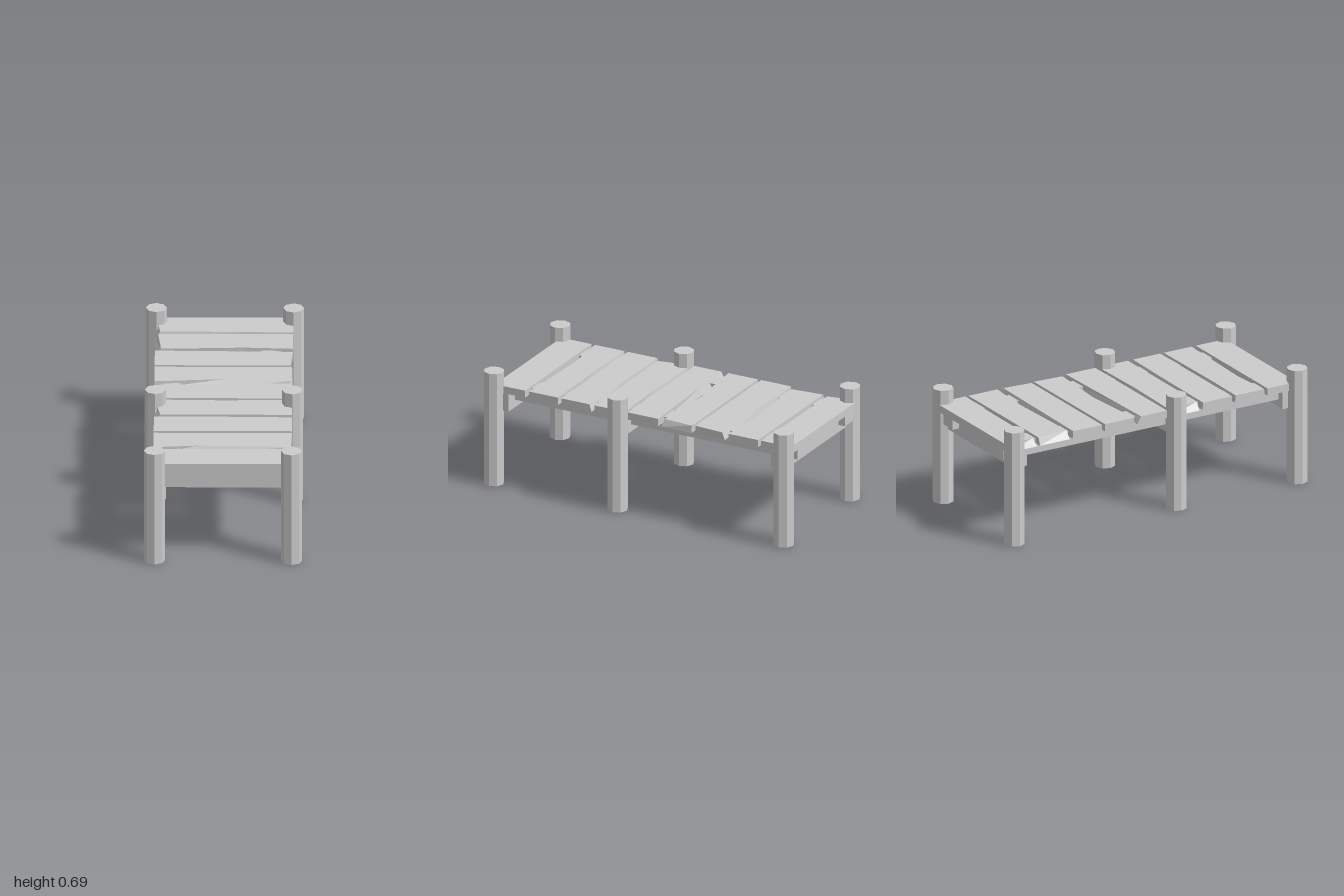
import * as THREE from 'three';

const material = new THREE.MeshStandardMaterial({ color: 0xcccccc, flatShading: true });

function add(parent, name, geometry, x, y, z) {
  const mesh = new THREE.Mesh(geometry, material);
  mesh.name = name;
  mesh.position.set(x, y, z);
  parent.add(mesh);
}

// Box given by its limits on each axis
function beam(parent, name, [x0, x1], [y0, y1], [z0, z1]) {
  add(parent, name, new THREE.BoxGeometry(x1 - x0, y1 - y0, z1 - z0),
    (x0 + x1) / 2, (y0 + y1) / 2, (z0 + z1) / 2);
}

// Board with hewn edges: the top ring is pulled in by the wear amounts,
// back/front are [left, middle, right], left/right are [back, front].
// "through" wear is cut straight down, so it pulls in the bottom ring too.
function plankGeometry(width, depth, height, wear) {
  const none = { back: [0, 0, 0], front: [0, 0, 0], left: [0, 0], right: [0, 0], mid: 0, through: '' };
  const w = { ...none, ...wear };
  const ring = (y, amount) => {
    const [b, f, l, r] = ['back', 'front', 'left', 'right'].map((k) => w[k].map((v) => v * amount(k)));
    const hx = width / 2, hz = depth / 2;
    return [
      [-hx + l[0], y, -hz + b[0]], [w.mid, y, -hz + b[1]], [hx - r[0], y, -hz + b[2]],
      [hx - r[1], y, hz - f[2]], [w.mid, y, hz - f[1]], [-hx + l[1], y, hz - f[0]],
    ];
  };
  const top = ring(height / 2, () => 1);
  const bottom = ring(-height / 2, (k) => (w.through.includes(k) ? 1 : 0));
  const points = [];
  const quad = (a, b, c, d) => points.push(...a, ...b, ...c, ...a, ...c, ...d);
  for (const [a, b, c, d] of [[0, 1, 4, 5], [1, 2, 3, 4]]) {
    quad(top[d], top[c], top[b], top[a]);
    quad(bottom[a], bottom[b], bottom[c], bottom[d]);
  }
  for (let i = 0; i < 6; i++) {
    const j = (i + 1) % 6;
    quad(top[i], top[j], bottom[j], bottom[i]);
  }
  const geometry = new THREE.BufferGeometry();
  geometry.setAttribute('position', new THREE.Float32BufferAttribute(points, 3));
  geometry.computeVertexNormals();
  return geometry;
}

export function createModel() {
  const dock = new THREE.Group();
  dock.name = 'dock';

  // Octagonal posts in three pairs
  for (const z of [-0.94, 0.137, 0.94]) {
    for (const side of [-1, 1]) {
      add(dock, side > 0 ? 'leftPost' : 'rightPost',
        new THREE.CylinderGeometry(0.06, 0.06, 0.69, 8), side * 0.39, 0.345, z);
    }
  }

  // Cross beams between each pair of posts
  for (const z of [-0.9, 0.137, 0.888]) {
    beam(dock, 'crossBeam', [-0.39, 0.39], [0.455, 0.562], [z - 0.043, z + 0.043]);
  }

  // Long beams under the planks, ends showing at the back
  beam(dock, 'rightStringer', [-0.345, -0.248], [0.5, 0.59], [-0.985, 0.88]);
  beam(dock, 'leftStringer', [0.21, 0.312], [0.5, 0.59], [-0.985, 0.88]);

  // Deck planks from back to front, each worn differently
  const wear = [
    { front: [0.012, 0.008, 0], left: [0, 0.03], mid: 0.1 },
    { front: [0, 0.018, 0.004], left: [0.018, 0.035], mid: 0.12, through: 'front' },
    { back: [0.004, 0.01, 0.016], right: [0, 0.014], through: 'right' },
    { front: [0.004, 0.035, 0.012], right: [0.004, 0.016] },
    { back: [0.022, 0.016, 0], mid: -0.16 },
    { back: [0, 0.008, 0], left: [0, 0.036] },
    { back: [0.004, 0.007, 0.014] },
    { back: [0.004, 0.008, 0.002], front: [0.002, 0.024, 0.008], mid: -0.14 },
    {},
  ];
  wear.forEach((w, i) => {
    add(dock, 'plank', plankGeometry(0.785, 0.196, 0.044, w), -0.004, 0.583, -0.89 + i * 0.216);
  });

  return dock;
}
